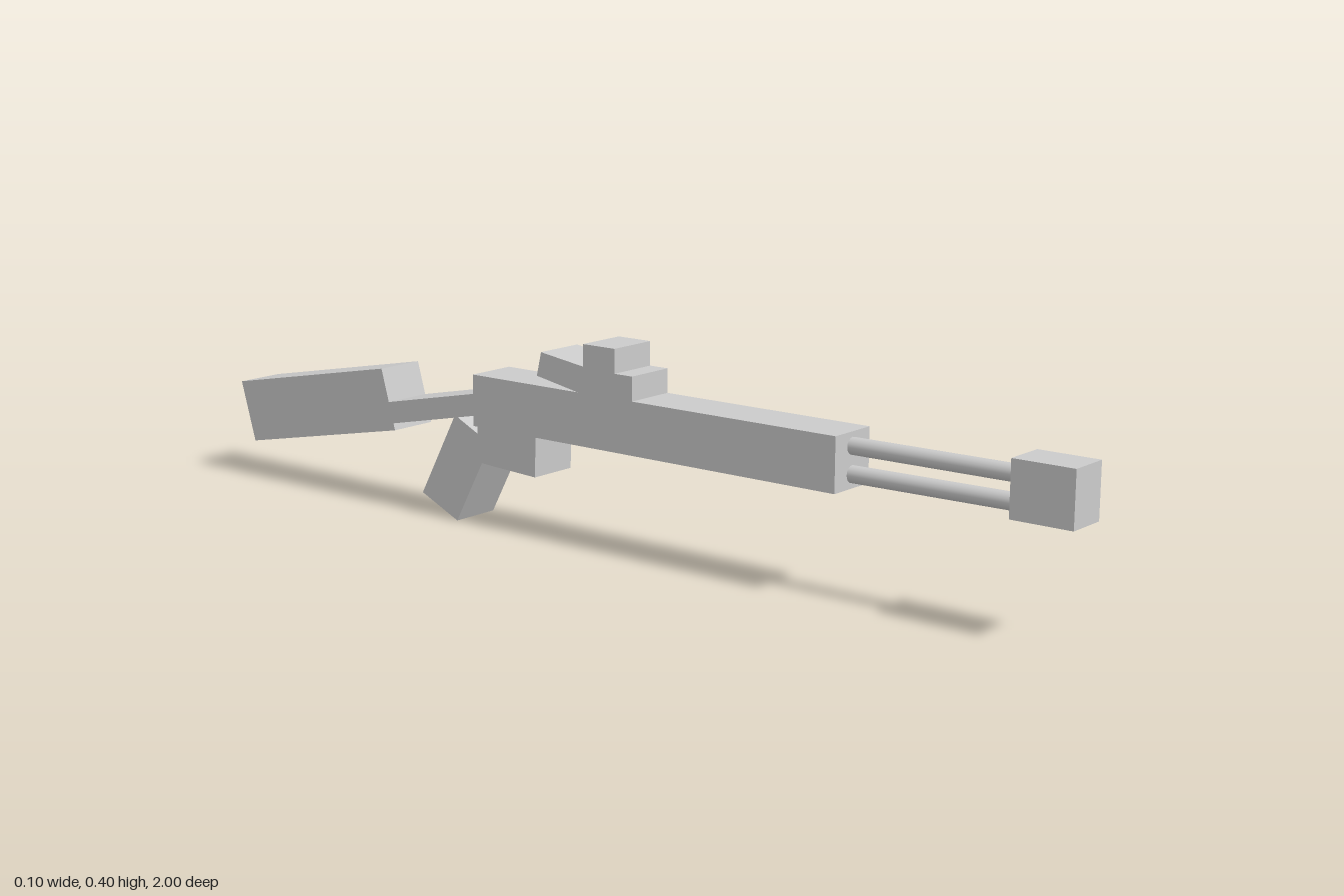
import * as THREE from 'three';

const WIDTH = 0.105;

export function createModel() {
  const group = new THREE.Group();
  const material = new THREE.MeshStandardMaterial({ color: 0xcccccc });

  function add(name, geometry) {
    const mesh = new THREE.Mesh(geometry, material);
    mesh.name = name;
    group.add(mesh);
  }

  // Slab with a side profile given as [z, y] corners, centred on x = 0
  function slab(name, profile, width = WIDTH) {
    const shape = new THREE.Shape(profile.map(([z, y]) => new THREE.Vector2(z, y)));
    const geometry = new THREE.ExtrudeGeometry(shape, { depth: width, bevelEnabled: false });
    geometry.translate(0, 0, -width / 2).rotateY(-Math.PI / 2);
    add(name, geometry);
  }

  // Upright box given by its z and y ranges
  function block(name, z0, z1, y0, y1, width = WIDTH) {
    slab(name, [[z0, y0], [z1, y0], [z1, y1], [z0, y1]], width);
  }

  // Rod between two [z, y] points
  function rod(name, [z0, y0], [z1, y1], radius) {
    const path = new THREE.LineCurve3(new THREE.Vector3(0, y0, z0), new THREE.Vector3(0, y1, z1));
    add(name, new THREE.TubeGeometry(path, 1, radius, 16));
  }

  // Body and muzzle
  block('body', -0.318, 0.54, 0.2, 0.303);
  block('muzzle', 0.88, 1, 0.21, 0.314, 0.084);

  // Twin barrels, drooping very slightly to the rear
  rod('upperBarrel', [0.5, 0.277], [0.9, 0.279], 0.016);
  rod('lowerBarrel', [0.5, 0.226], [0.9, 0.23], 0.016);

  // Sight: front step, raised block and tilted rear plate
  block('sightBase', -0.04, 0.085, 0.29, 0.35);
  block('sightBlock', -0.034, 0.043, 0.34, 0.397);
  slab('sightRear', [[-0.15, 0.322], [-0.139, 0.369], [-0.02, 0.352], [-0.02, 0.298]]);

  // Magazine and slanted grip
  slab('magazine', [[-0.31, 0.129], [-0.26, 0.126], [-0.157, 0.121], [-0.154, 0.22], [-0.306, 0.22]]);
  slab('grip', [[-0.461, 0.043], [-0.366, 0], [-0.274, 0.17], [-0.368, 0.215]]);

  // Stock neck and shoulder stock
  slab('stockNeck', [[-0.56, 0.17], [-0.3, 0.224], [-0.3, 0.268], [-0.57, 0.213]]);
  slab('shoulderStock', [[-0.963, 0.077], [-0.537, 0.16], [-0.572, 0.283], [-1, 0.202]]);

  return group;
}
